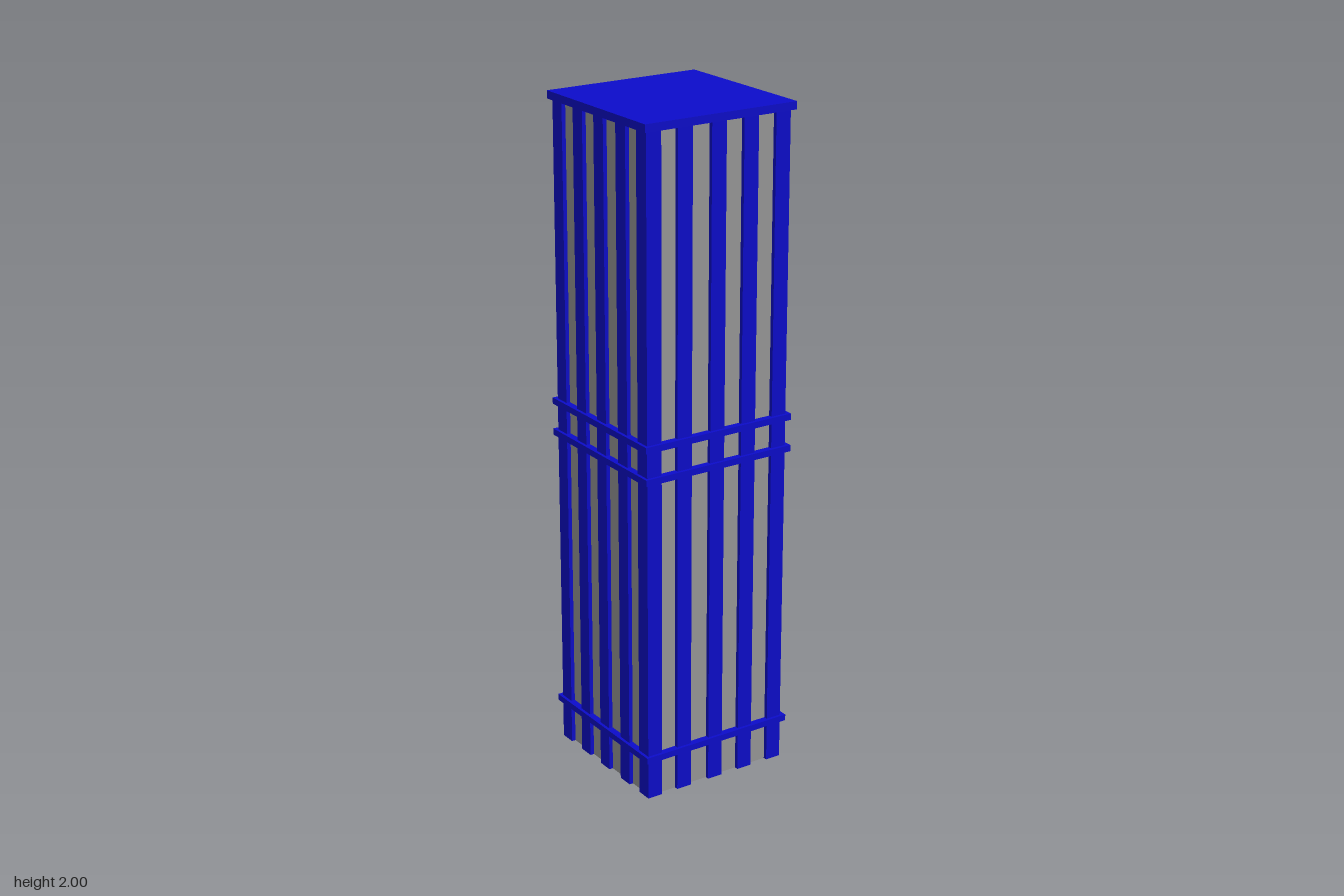
import * as THREE from 'three';

export function createModel() {
  const model = new THREE.Group();
  const blue = new THREE.MeshStandardMaterial({ color: 0x0c0ccc });
  blue.name = 'blue frame';
  const grey = new THREE.MeshStandardMaterial({ color: 0x999999 });
  grey.name = 'grey glass';

  // box given by its minimum and maximum corners
  function box(name, mat, x0, x1, y0, y1, z0, z1) {
    const mesh = new THREE.Mesh(new THREE.BoxGeometry(x1 - x0, y1 - y0, z1 - z0), mat);
    mesh.position.set((x0 + x1) / 2, (y0 + y1) / 2, (z0 + z1) / 2);
    mesh.name = name;
    model.add(mesh);
  }

  // columns around the perimeter: five per side, sharing the corners
  const centres = [-0.214, -0.113, -0.003, 0.103, 0.209];
  const half = 0.024, top = 1.98;
  centres.forEach((x, i) => centres.forEach((c, j) => {
    if (i % 4 !== 0 && j % 4 !== 0) return;
    const z = -c;
    box('column', blue, x - half, x + half, 0, top, z - half, z + half);
  }));

  // thin glass walls, set back slightly from the column faces
  const lo = -0.226, hi = 0.221, t = 0.008;
  box('frontGlass', grey, lo, hi, 0, top, -lo - t, -lo);
  box('backGlass', grey, lo, hi, 0, top, -hi, -hi + t);
  box('leftGlass', grey, hi - t, hi, 0, top, -hi, -lo);
  box('rightGlass', grey, lo, lo + t, 0, top, -hi, -lo);

  // floor slabs that show as bands outside, and the roof
  const s = 0.247;
  for (const y of [0.118, 0.982, 1.078]) {
    box('floorSlab', blue, -s, s, y, y + 0.019, -s, s);
  }
  box('roof', blue, -s, s, 1.977, 2, -s, s);

  // inner core below the lowest slab
  box('core', blue, -0.12, 0.12, 0, 0.12, -0.12, 0.12);
  return model;
}
